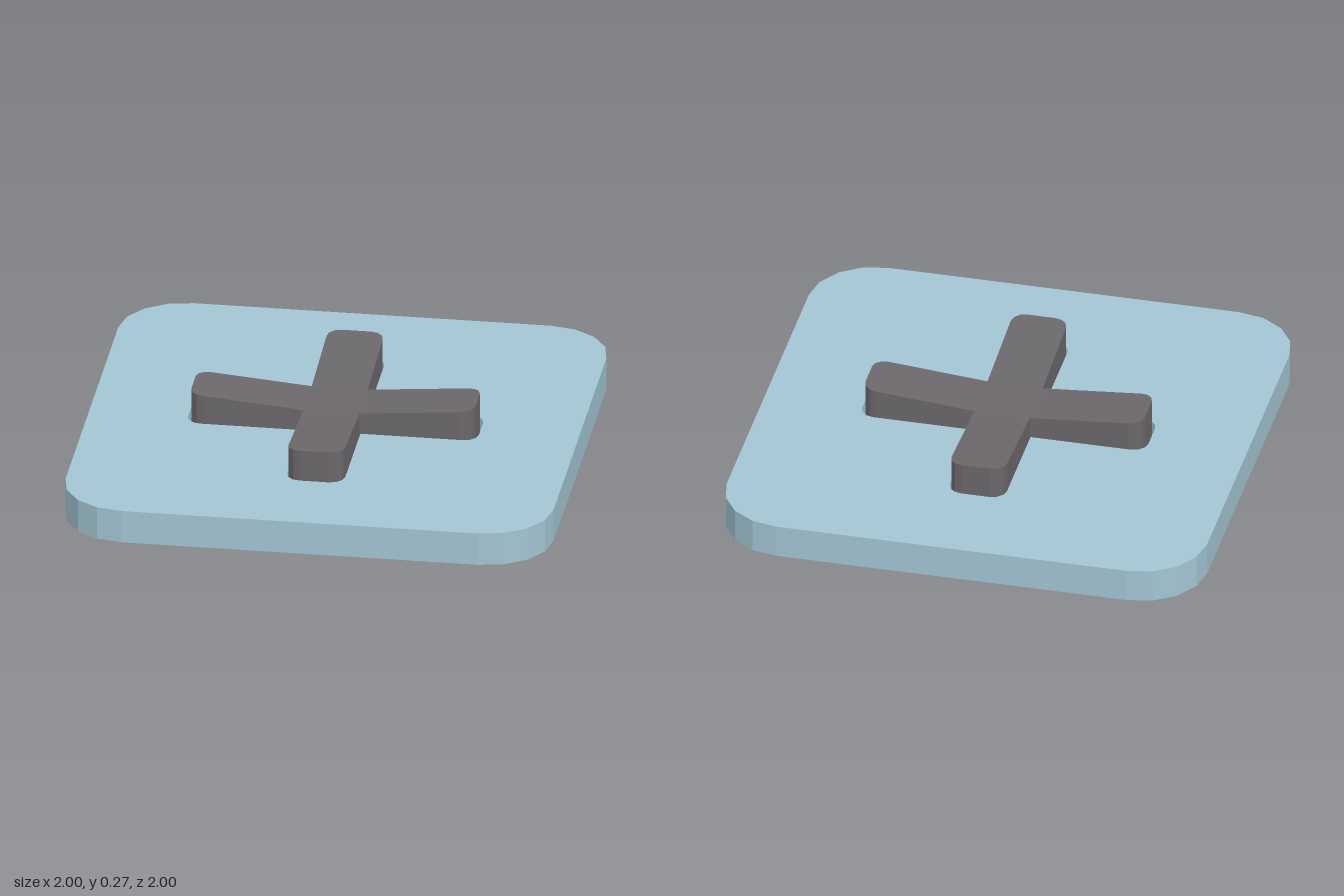
import * as THREE from 'three';

const PLATE_TOP = 0.14, FLOOR = 0.08;   // plate surface and recess floor
const HALF = 0.115, REACH = 0.582;      // arm half width and reach
const LOW = 0.228, HIGH = 0.267;        // cross height at the centre and at the tips
const CROSS_Z = 0.011;

// Points of a quarter-round corner around (cx, cy), starting at angle a
function corner(cx, cy, r, a, n) {
  return Array.from({ length: n + 1 }, (_, i) => {
    const t = a + (i / n) * Math.PI / 2;
    return new THREE.Vector2(cx + r * Math.cos(t), cy + r * Math.sin(t));
  });
}

// Extrude an outline upward from y0 to y1
function slab(shape, y0, y1) {
  const g = new THREE.ExtrudeGeometry(shape, { depth: y1 - y0, bevelEnabled: false });
  g.rotateX(-Math.PI / 2);
  g.translate(0, y0, 0);
  return g;
}

function plateShape() {
  const r = 0.27, c = 1 - r, q = Math.PI / 2;
  return new THREE.Shape([
    ...corner(c, c, r, 0, 4), ...corner(-c, c, r, q, 4),
    ...corner(-c, -c, r, 2 * q, 4), ...corner(c, -c, r, 3 * q, 4),
  ]);
}

// Rounded end of an arm pointing along +x
function armEnd(half, reach, r) {
  return [
    ...corner(reach - r, -half + r, r, -Math.PI / 2, 3),
    ...corner(reach - r, half - r, r, 0, 3),
  ];
}

// Recess outline: four rounded ends joined at the inner corners
function recessPath() {
  const w = HALF + 0.004, pts = [];
  for (let k = 0; k < 4; k++) {
    const a = k * Math.PI / 2;
    const arm = [new THREE.Vector2(w, -w), ...armEnd(w, REACH + 0.014, 0.06)];
    for (const p of arm) {
      p.rotateAround(new THREE.Vector2(), a);
      p.y -= CROSS_Z;
      pts.push(p);
    }
  }
  return new THREE.Path(pts);
}

export function createModel() {
  const blue = new THREE.MeshStandardMaterial({ name: 'paleBlue', color: 0xa3c5d3 });
  const grey = new THREE.MeshStandardMaterial({ name: 'darkGrey', color: 0x6b676b });
  const model = new THREE.Group();
  model.name = 'crossButton';
  const add = (parent, name, geometry, material) => {
    const mesh = new THREE.Mesh(geometry, material);
    mesh.name = name;
    parent.add(mesh);
    return mesh;
  };

  // Plate: solid lower layer and an upper layer with the recess
  add(model, 'plateBase', slab(plateShape(), 0, FLOOR), blue);
  const topShape = plateShape();
  topShape.holes.push(recessPath());
  add(model, 'plateTop', slab(topShape, FLOOR, PLATE_TOP), blue);

  // Cross: flat centre and four arms rising toward their tips
  const cross = new THREE.Group();
  cross.name = 'cross';
  cross.position.z = CROSS_Z;
  model.add(cross);
  const centre = new THREE.BoxGeometry(2 * HALF, LOW - FLOOR, 2 * HALF);
  centre.translate(0, (LOW + FLOOR) / 2, 0);
  add(cross, 'crossCentre', centre, grey);

  const armShape = new THREE.Shape([
    new THREE.Vector2(HALF, -HALF), ...armEnd(HALF, REACH, 0.055), new THREE.Vector2(HALF, HALF),
  ]);
  const arm = slab(armShape, FLOOR, LOW);
  const p = arm.attributes.position;
  for (let i = 0; i < p.count; i++) {
    if (p.getY(i) > (FLOOR + LOW) / 2) {
      p.setY(i, LOW + (HIGH - LOW) * (p.getX(i) - HALF) / (REACH - HALF));
    }
  }
  arm.computeVertexNormals();
  ['leftArm', 'backArm', 'rightArm', 'frontArm'].forEach((name, k) => {
    add(cross, name, arm, grey).rotation.y = k * Math.PI / 2;
  });
  return model;
}
